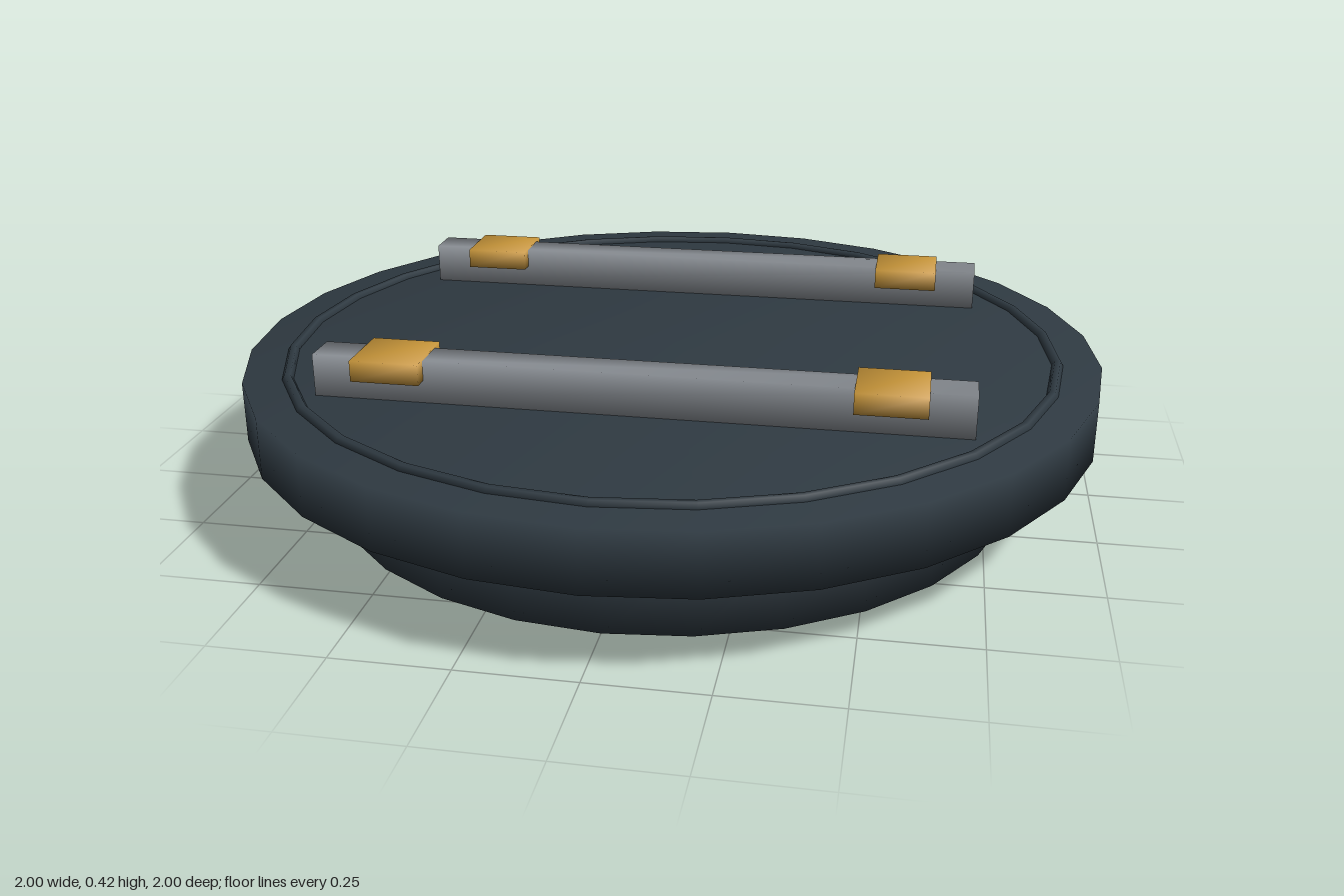
import * as THREE from 'three';
import { mergeVertices } from 'three/addons/utils/BufferGeometryUtils.js';

const SIDES = 28;

const makeMaterial = (name, color) => {
  const material = new THREE.MeshStandardMaterial({ color });
  material.name = name;
  return material;
};

// Weld the corners so shading runs softly over every edge
function soften(geometry) {
  geometry.deleteAttribute('normal');
  geometry.deleteAttribute('uv');
  const welded = mergeVertices(geometry, 1e-4);
  welded.computeVertexNormals();
  return welded;
}

export function createModel() {
  const model = new THREE.Group();
  const slate = makeMaterial('dark slate', 0x2f3a42);
  const steel = makeMaterial('steel grey', 0x8c9197);
  const brass = makeMaterial('brass', 0xc8963a);

  const add = (name, geometry, material, x, y, z) => {
    const mesh = new THREE.Mesh(geometry, material);
    mesh.name = name;
    mesh.position.set(x, y, z);
    model.add(mesh);
    return mesh;
  };

  // Narrow foot below a wide plate, with a hairline gap between
  add('foot', soften(new THREE.CylinderGeometry(0.82, 0.82, 0.178, SIDES)), slate, 0, 0.089, 0);
  add('plate', soften(new THREE.CylinderGeometry(1, 1, 0.138, SIDES)), slate, 0, 0.253, 0);

  // Thin raised ring on the plate
  const ring = add('ring', new THREE.TorusGeometry(0.9, 0.013, 6, SIDES), slate, 0, 0.322, 0);
  ring.rotation.x = -Math.PI / 2;

  // Two rails, each held by a pair of clamps
  const railShape = soften(new THREE.BoxGeometry(1.42, 0.095, 0.086));
  const clampShape = soften(new THREE.BoxGeometry(0.152, 0.047, 0.152));
  for (const z of [-0.432, 0.432]) {
    add('rail', railShape, steel, 0, 0.3705, z);
    for (const x of [-0.537, 0.537]) add('clamp', clampShape, brass, x, 0.3975, z);
  }
  return model;
}
